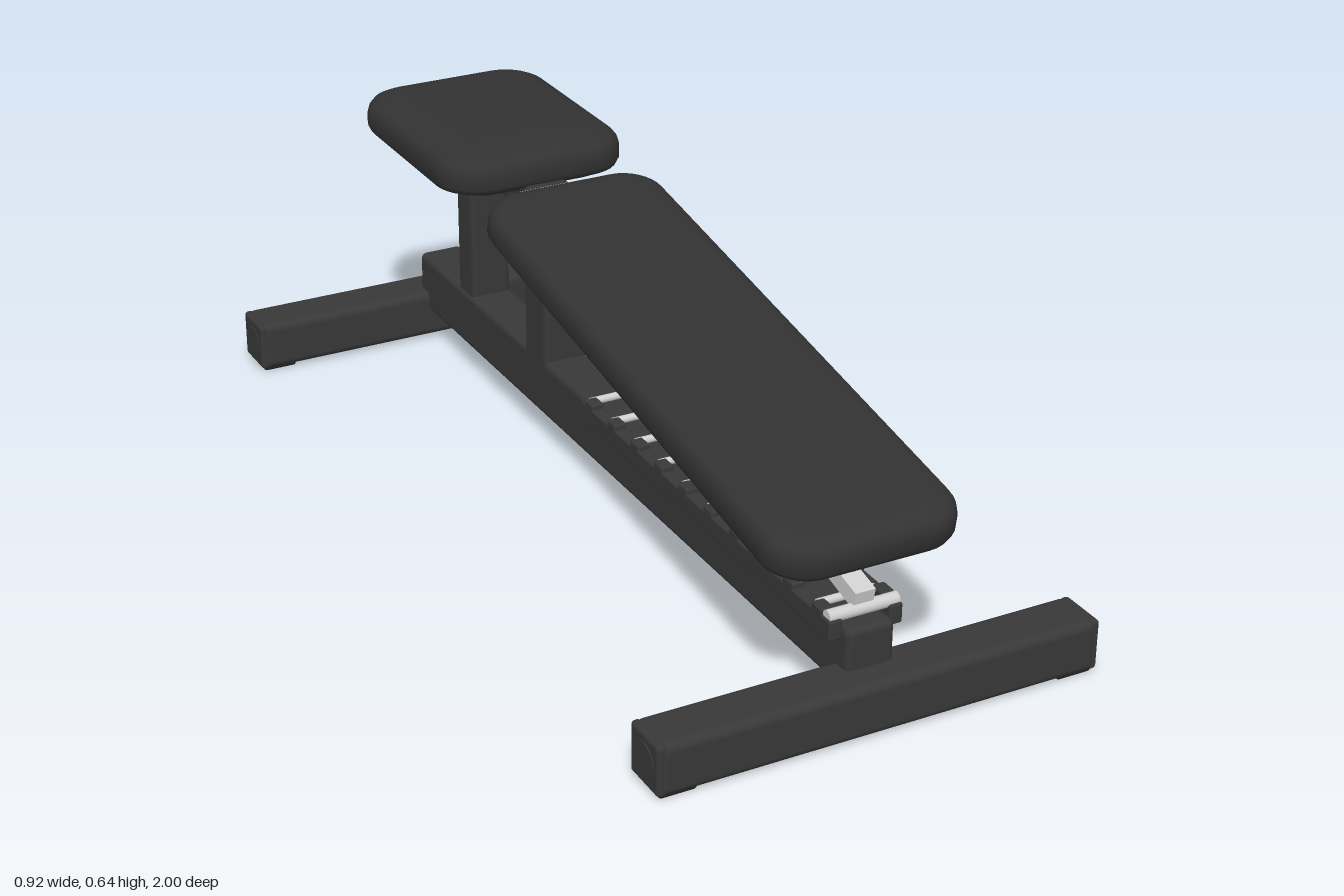
import * as THREE from 'three';
import { RoundedBoxGeometry } from 'three/addons/geometries/RoundedBoxGeometry.js';

const mat = (name, color) => {
  const m = new THREE.MeshStandardMaterial({ color });
  m.name = name;
  return m;
};

// Closed loop of points around a rounded rectangle in the xz plane
function roundedLoop(w, l, r, y, steps = 8) {
  const pts = [];
  const corners = [[1, 1], [-1, 1], [-1, -1], [1, -1]];
  corners.forEach(([sx, sz], q) => {
    for (let i = 0; i <= steps; i++) {
      const a = (q + i / steps) * Math.PI / 2;
      pts.push([sx * (w / 2 - r) + r * Math.cos(a), y, sz * (l / 2 - r) + r * Math.sin(a)]);
    }
  });
  return pts;
}

// Upholstered cushion: stacked rounded loops with a softly crowned top
function cushionGeometry(w, l, h, r) {
  const rings = [[0.03, 0], [0.006, 0.004], [0, 0.2 * h], [0, 0.5 * h], [0.004, 0.68 * h],
    [0.013, 0.82 * h], [0.028, 0.91 * h], [0.05, 0.95 * h], [0.1, 0.985 * h], [0.15, h]];
  const loops = rings.map(([d, y]) => roundedLoop(w - 2 * d, l - 2 * d, Math.max(r - d, 0.015), y));
  const n = loops[0].length;
  const pos = loops.flat(2);
  const index = [];
  for (let k = 0; k < loops.length - 1; k++) {
    for (let i = 0; i < n; i++) {
      const a = k * n + i, b = k * n + (i + 1) % n;
      index.push(a, a + n, b, b, a + n, b + n);
    }
  }
  // Bottom and top caps
  const bottom = pos.length / 3, top = bottom + 1, last = (loops.length - 1) * n;
  pos.push(0, 0, 0, 0, h, 0);
  for (let i = 0; i < n; i++) {
    const j = (i + 1) % n;
    index.push(bottom, i, j, top, last + j, last + i);
  }
  const g = new THREE.BufferGeometry();
  g.setAttribute('position', new THREE.Float32BufferAttribute(pos, 3));
  g.setIndex(index);
  g.computeVertexNormals();
  return g;
}

export function createModel() {
  const model = new THREE.Group();
  model.name = 'adjustableBench';
  const frame = mat('frame charcoal', 0x383838);
  const vinyl = mat('cushion vinyl', 0x323232);
  const backing = mat('backing black', 0x242424);
  const steel = mat('bright steel', 0xcfcfcf);

  const add = (parent, name, geo, material, x, y, z) => {
    const m = new THREE.Mesh(geo, material);
    m.name = name;
    m.position.set(x, y, z);
    parent.add(m);
    return m;
  };
  const tube = (parent, name, w, h, d, x, y, z, r = 0.012, material = frame) =>
    add(parent, name, new RoundedBoxGeometry(w, h, d, 3, r), material, x, y, z);
  const rod = (parent, name, radius, length, y, z, material = steel) =>
    add(parent, name, new THREE.CylinderGeometry(radius, radius, length, 20).rotateZ(Math.PI / 2),
      material, 0, y, z);

  // Base: long beam and two cross feet with end caps and floor pads
  tube(model, 'mainBeam', 0.1, 0.13, 1.88, 0, 0.132, 0, 0.014);
  for (const s of [1, -1]) {
    tube(model, 'crossFoot', 0.91, 0.108, 0.11, 0, 0.06, s * 0.945, 0.018);
    for (const e of [1, -1]) {
      tube(model, 'footEndCap', 0.02, 0.104, 0.104, e * 0.45, 0.06, s * 0.945, 0.008);
      add(model, 'footCapDisc', new THREE.CylinderGeometry(0.037, 0.037, 0.006, 28).rotateZ(Math.PI / 2),
        frame, e * 0.459, 0.06, s * 0.945);
      tube(model, 'floorPad', 0.075, 0.02, 0.09, e * 0.415, 0.01, s * 0.945, 0.006, backing);
    }
  }

  // Posts that carry the hinge and the seat
  tube(model, 'hingePost', 0.1, 0.39, 0.1, 0, 0.37, -0.333);
  tube(model, 'seatPost', 0.09, 0.34, 0.08, 0, 0.355, -0.695);

  // Adjustment ladder: toothed side rails joined by steel rungs
  const rungs = 10;
  for (const s of [1, -1]) {
    tube(model, 'ladderRail', 0.028, 0.042, 0.98, s * 0.063, 0.193, 0.43, 0.005);
    for (let i = 0; i < rungs; i++) {
      tube(model, 'ladderTooth', 0.028, 0.02, 0.036, s * 0.063, 0.215, 0.872 - i * 0.1, 0.005);
    }
  }
  for (let i = 0; i < rungs; i++) rod(model, 'ladderRung', 0.008, 0.12, 0.212, 0.848 - i * 0.1);
  rod(model, 'strutCrossbar', 0.013, 0.146, 0.216, 0.903);

  // Steel strut from the ladder up to the backrest pivot
  const low = new THREE.Vector2(0.91, 0.237), high = new THREE.Vector2(0.08, 0.432);
  const strut = add(model, 'supportStrut', new THREE.BoxGeometry(0.042, 0.036, low.distanceTo(high)),
    steel, 0, (low.y + high.y) / 2, (low.x + high.x) / 2);
  strut.rotation.x = Math.atan2(high.y - low.y, low.x - high.x);

  // Backrest, tilted down towards the front
  const back = new THREE.Group();
  back.name = 'backrest';
  back.position.set(0, 0.427, 0.322);
  back.rotation.x = 0.167;
  model.add(back);
  add(back, 'backCushion', cushionGeometry(0.396, 1.28, 0.08, 0.09), vinyl, 0, 0, 0);
  add(back, 'backBoard', cushionGeometry(0.33, 1.2, 0.012, 0.07), backing, 0, -0.009, 0);
  tube(back, 'backBeam', 0.09, 0.064, 1.145, 0, -0.036, -0.045, 0.008);

  // Seat with its slightly sloping beam
  const seat = new THREE.Group();
  seat.name = 'seat';
  seat.position.set(0, 0.557, -0.638);
  model.add(seat);
  add(seat, 'seatCushion', cushionGeometry(0.42, 0.535, 0.08, 0.1), vinyl, 0, 0, 0);
  add(seat, 'seatBoard', cushionGeometry(0.36, 0.475, 0.014, 0.08), backing, 0, -0.011, 0);
  const seatBeam = tube(seat, 'seatBeam', 0.09, 0.055, 0.49, 0, -0.033, 0.02, 0.008);
  seatBeam.rotation.x = -0.04;

  // Pivot pins
  rod(model, 'hingePin', 0.019, 0.146, 0.553, -0.335);
  rod(model, 'strutPin', 0.02, 0.11, 0.438, 0.08);

  return model;
}
